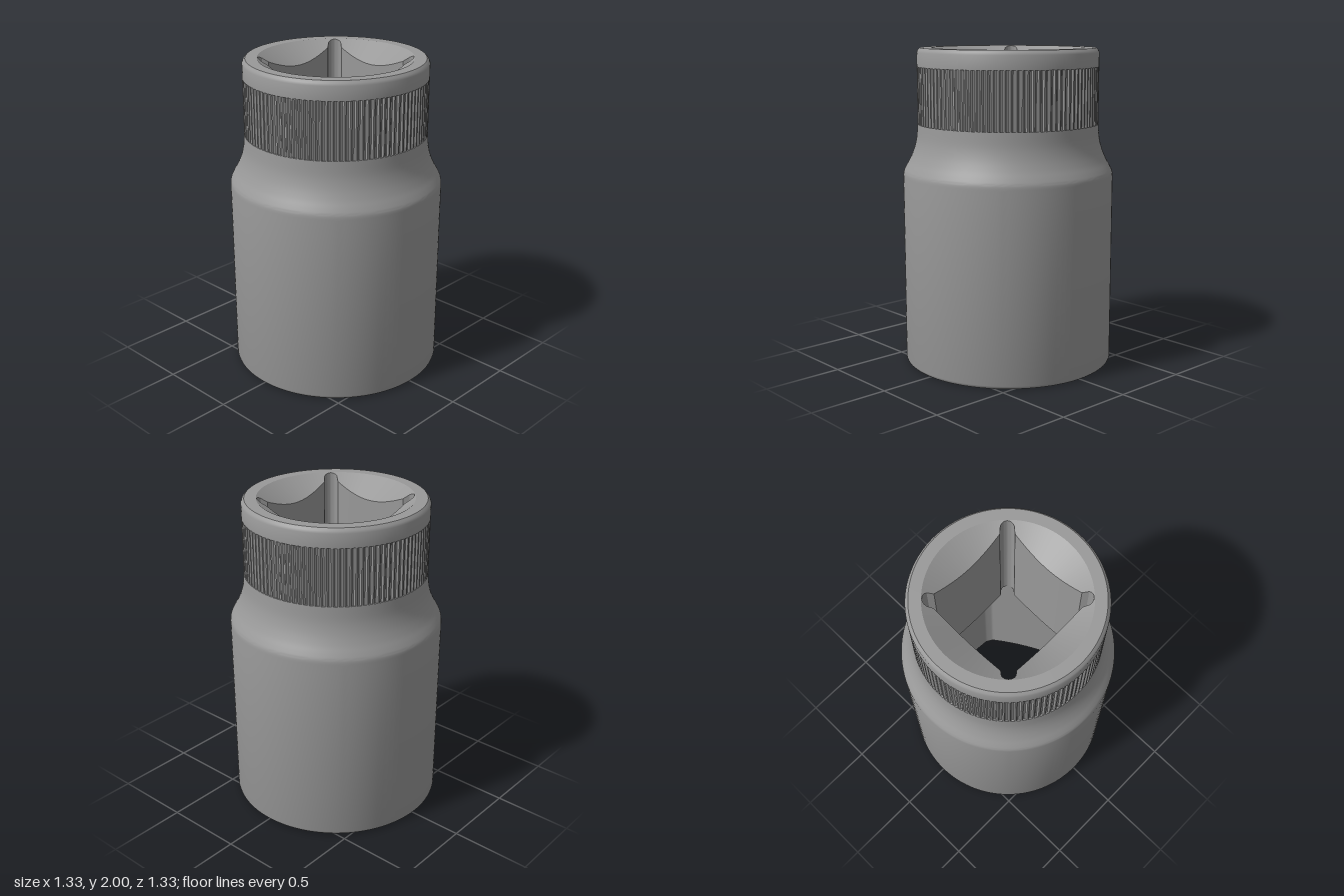
import * as THREE from 'three';
import { toCreasedNormals } from 'three/addons/utils/BufferGeometryUtils.js';

const material = new THREE.MeshStandardMaterial({ color: 0x999999, side: THREE.DoubleSide });

// Skin a stack of closed rings; each row is [radius, height] or maps (angle, index) to it.
function loft(name, rows, count, crease = 0.5) {
  const positions = [], index = [];
  for (const row of rows) {
    for (let j = 0; j < count; j++) {
      const a = (j / count) * Math.PI * 2;
      const [r, y] = typeof row === 'function' ? row(a, j) : row;
      positions.push(r * Math.cos(a), y, -r * Math.sin(a));
    }
  }
  for (let i = 0; i < rows.length - 1; i++) {
    for (let j = 0; j < count; j++) {
      const k = (j + 1) % count;
      const a = i * count + j, b = i * count + k;
      index.push(a, b, b + count, a, b + count, a + count);
    }
  }
  const geometry = new THREE.BufferGeometry();
  geometry.setAttribute('position', new THREE.Float32BufferAttribute(positions, 3));
  geometry.setIndex(index);
  const mesh = new THREE.Mesh(toCreasedNormals(geometry, crease), material);
  mesh.name = name;
  return mesh;
}

// Offset of an angle from the middle of its flat; one flat always faces +x.
function fromFlat(angle, sides) {
  const step = (2 * Math.PI) / sides;
  return Math.abs(angle - Math.round(angle / step) * step);
}

// Square bore radius: slightly bowed flats with round corner reliefs.
function square(angle) {
  const phi = fromFlat(angle, 4), delta = Math.PI / 4 - phi;
  const centre = 0.43, radius = 0.044;
  const flat = (0.313 + 0.012 * Math.tan(phi) ** 2) / Math.cos(phi);
  const d = radius ** 2 - (centre * Math.sin(delta)) ** 2;
  const relief = d > 0 ? centre * Math.cos(delta) + Math.sqrt(d) : 0;
  return Math.min(Math.max(flat, relief), centre + radius);
}

// Hexagonal bore radius with rounded-off corners.
function hex(angle) {
  return Math.min(0.46 / Math.cos(fromFlat(angle, 6)), 0.517);
}

export function createModel() {
  const group = new THREE.Group();
  group.name = 'socket';

  const neck = 0.57, knurlBottom = 1.53, knurlTop = 1.885;
  const floorY = 1.1, slope = 0.65;
  const topMouth = 0.478, bottomMouth = 0.59;

  // Lower barrel with rounded foot and a softly curved shoulder into the neck
  const shoulder = new THREE.SplineCurve([
    [0.665, 1.2], [0.661, 1.232], [0.645, 1.265], [0.62, 1.31],
    [0.595, 1.37], [0.578, 1.44], [neck, knurlBottom],
  ].map(([x, y]) => new THREE.Vector2(x, y))).getPoints(24).map((p) => [p.x, p.y]);
  group.add(loft('barrel', [
    [bottomMouth, 0], [0.645, 0], [0.654, 0.003], [0.662, 0.011], [0.665, 0.022], ...shoulder,
  ], 120, 0.8));

  // Knurled grip band: lands and shallow grooves around the neck
  const groove = (y) => (a, j) => [j % 4 < 2 ? neck : neck - 0.01, y];
  group.add(loft('knurledBand', [
    [neck, knurlBottom], groove(knurlBottom), groove(knurlTop), [neck, knurlTop],
  ], 104 * 4, 0.3));

  // Plain collar above the knurl, chamfered to the top face
  group.add(loft('collar', [
    [neck, knurlTop], [neck, 1.972], [0.564, 1.986], [0.55, 2], [topMouth, 2],
  ], 120, 0.7));

  // Square drive hole with conical lead-in
  group.add(loft('squareDrive', [
    [topMouth, 2],
    (a) => [square(a), 2 - (topMouth - square(a)) * slope],
    (a) => [square(a), floorY],
  ], 360));

  // Step between the two holes
  group.add(loft('innerStep', [(a) => [square(a), floorY], (a) => [hex(a), floorY]], 360));

  // Hexagonal nut hole with conical lead-in
  group.add(loft('hexOpening', [
    (a) => [hex(a), floorY],
    (a) => [hex(a), (bottomMouth - hex(a)) * slope],
    [bottomMouth, 0],
  ], 360));

  return group;
}
